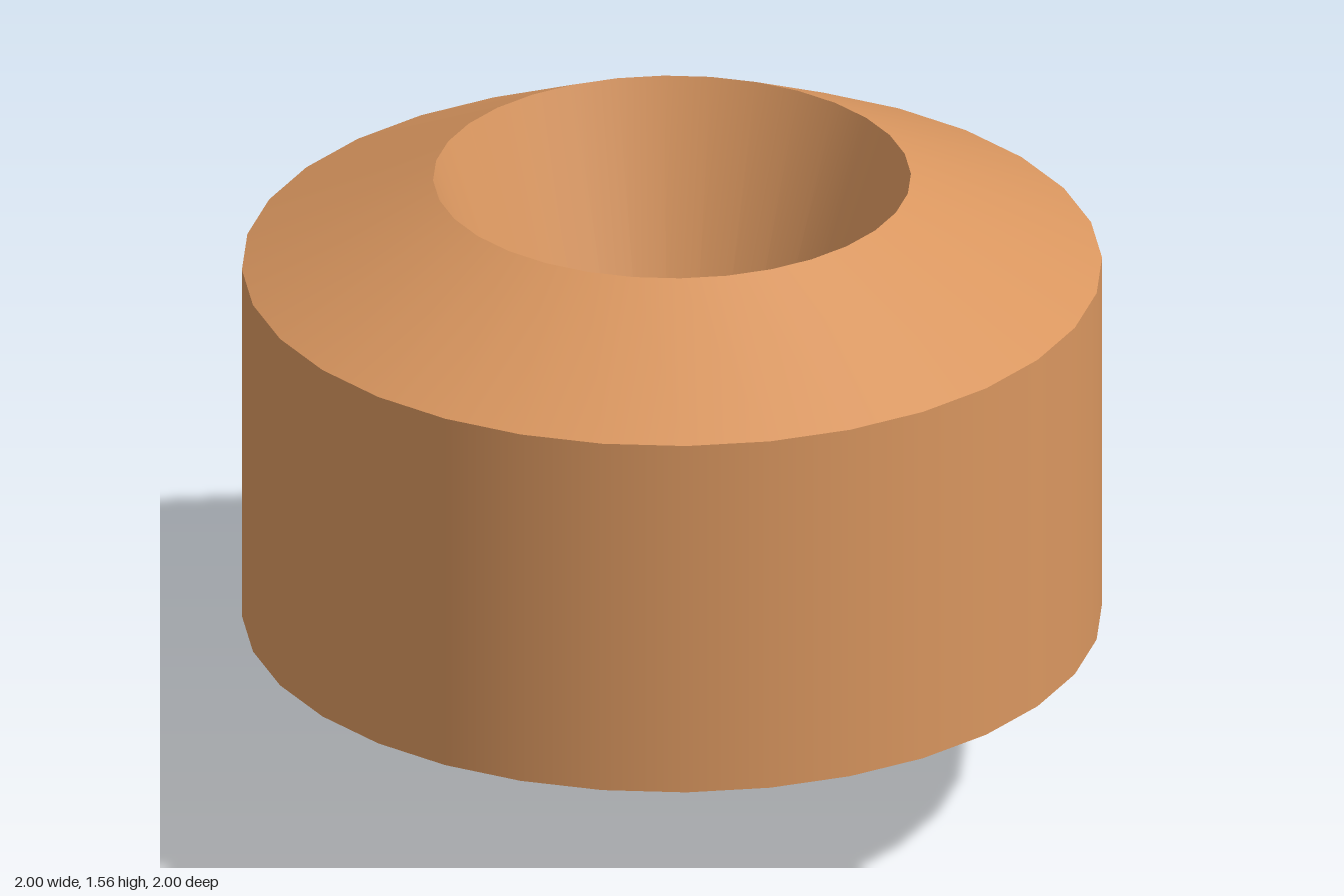
import * as THREE from 'three';

const SEGMENTS = 32;
const U = 1 / 9; // profile unit: the outer radius is 9 units

export function createModel() {
  const group = new THREE.Group();
  group.name = 'hollowTurnedBody';
  const material = new THREE.MeshStandardMaterial({ color: 0xd9965f });

  // Each band is revolved on its own: smooth around, sharp between bands
  const band = (name, from, to) => {
    const profile = [from, to].map(([r, y]) => new THREE.Vector2(r * U, y * U));
    const mesh = new THREE.Mesh(new THREE.LatheGeometry(profile, SEGMENTS), material);
    mesh.name = name;
    group.add(mesh);
  };

  const tip = [0, 0], lowerRim = [9, 4], upperRim = [9, 12], mouth = [5, 14];
  band('bottomCone', tip, lowerRim);
  band('sideWall', lowerRim, upperRim);
  band('shoulder', upperRim, mouth);
  // Deep conical hollow running from the mouth down to the tip
  band('innerHollow', mouth, tip);

  return group;
}
